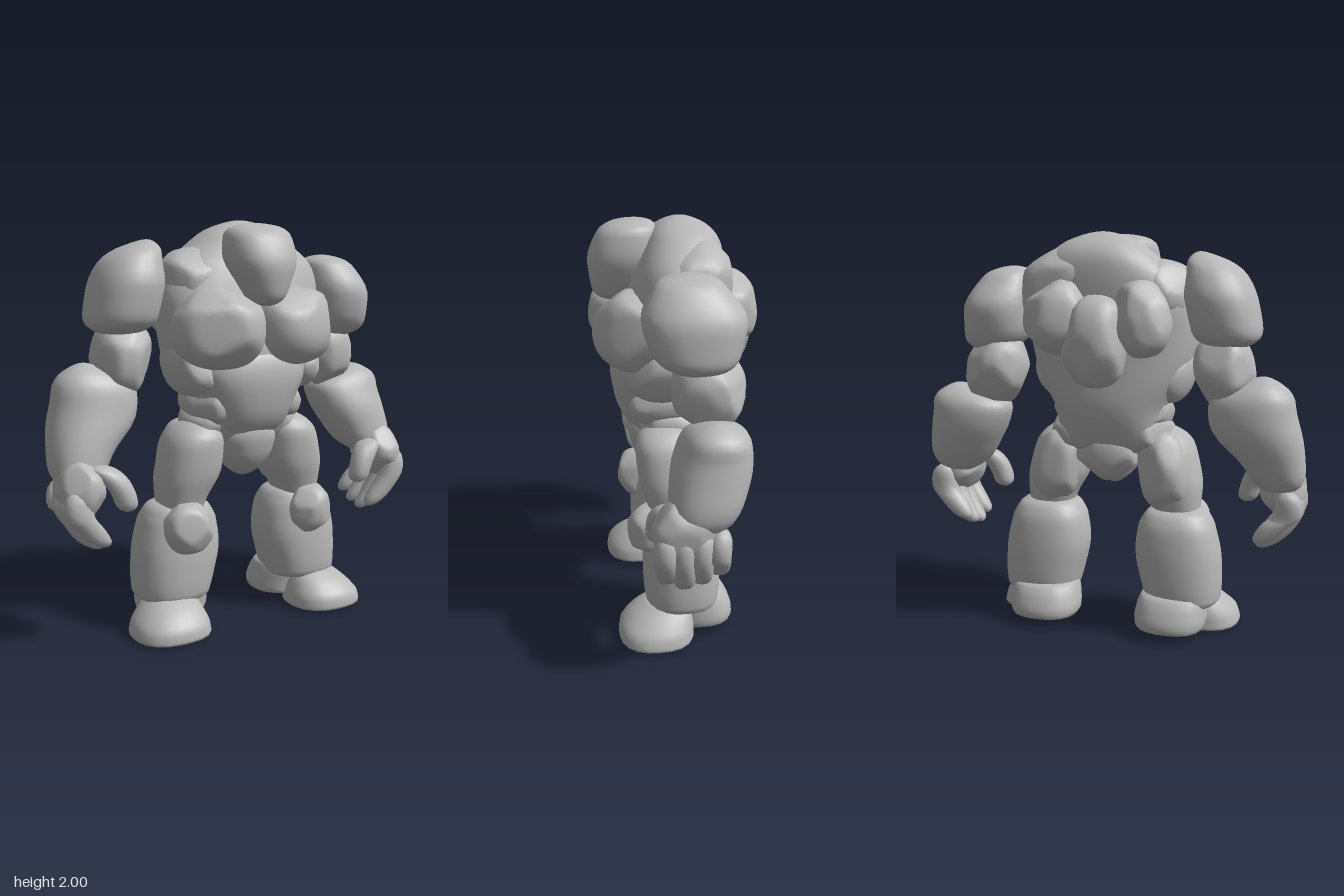
import * as THREE from 'three';
import { mergeVertices } from 'three/addons/utils/BufferGeometryUtils.js';

const stone = new THREE.MeshStandardMaterial({ color: 0xb8b8b8 });
stone.name = 'grey stone';

function seeded(seed) {
  let s = seed * 7919 + 17;
  return () => (s = (s * 16807) % 2147483647) / 2147483647;
}

// Boulder: a boxy ball with softly chiselled sides, fitted to exact half sizes.
let count = 1;
function rock(group, name, pos, size, rot = [0, 0, 0]) {
  const rnd = seeded(count++);
  let g = new THREE.IcosahedronGeometry(1, 7);
  g.deleteAttribute('normal');
  g.deleteAttribute('uv');
  g = mergeVertices(g, 1e-4);
  const cuts = [];
  for (let i = 0; i < 14; i++) {
    const n = new THREE.Vector3(rnd() * 2 - 1, rnd() * 2 - 1, rnd() * 2 - 1).normalize();
    cuts.push([n, 0.86 + rnd() * 0.12]);
  }
  const p = g.attributes.position, v = new THREE.Vector3();
  for (let i = 0; i < p.count; i++) {
    v.fromBufferAttribute(p, i);
    const e = 2.4;
    v.multiplyScalar(1 / Math.pow(Math.abs(v.x) ** e + Math.abs(v.y) ** e + Math.abs(v.z) ** e, 1 / e));
    for (const [n, h] of cuts) {
      const d = v.dot(n) - h;
      if (d > 0) v.addScaledVector(n, -d * 0.8);
    }
    p.setXYZ(i, v.x, v.y, v.z);
  }
  g.center();
  g.computeBoundingBox();
  const m = g.boundingBox.max;
  g.scale(size[0] / m.x, size[1] / m.y, size[2] / m.z);
  g.computeVertexNormals();
  const mesh = new THREE.Mesh(g, stone);
  mesh.name = name;
  mesh.position.set(...pos);
  mesh.rotation.set(...rot);
  group.add(mesh);
}

// Limb: level cross-sections [x, y, z, rx, rz] listed from the top down, with rounded ends.
function limb(group, name, sections, rings = 22, sides = 22, end = 0.16) {
  const mid = new THREE.CatmullRomCurve3(sections.map(s => new THREE.Vector3(s[0], s[1], s[2])));
  const rad = new THREE.CatmullRomCurve3(sections.map(s => new THREE.Vector3(s[3], s[4], 0)));
  const pos = [], idx = [];
  for (let i = 0; i <= rings; i++) {
    const t = (1 - Math.cos((Math.PI * i) / rings)) / 2;
    const c = mid.getPoint(t), r = rad.getPoint(t);
    const near = Math.min(t, 1 - t, end) / end;
    const k = Math.max(0.002, Math.sqrt(1 - (1 - near) ** 2));
    for (let j = 0; j < sides; j++) {
      const a = (j / sides) * Math.PI * 2, ca = Math.cos(a), sa = Math.sin(a);
      const f = k / Math.pow(Math.abs(ca) ** 2.5 + Math.abs(sa) ** 2.5, 1 / 2.5);
      pos.push(c.x + ca * r.x * f, c.y, c.z + sa * r.y * f);
      if (i < rings) {
        const A = i * sides + j, B = i * sides + ((j + 1) % sides);
        idx.push(A, B, A + sides, B, B + sides, A + sides);
      }
    }
  }
  const g = new THREE.BufferGeometry();
  g.setAttribute('position', new THREE.Float32BufferAttribute(pos, 3));
  g.setIndex(idx);
  g.computeVertexNormals();
  const mesh = new THREE.Mesh(g, stone);
  mesh.name = name;
  group.add(mesh);
}

function part(parent, name) {
  const g = new THREE.Group();
  g.name = name;
  parent.add(g);
  return g;
}

export function createModel() {
  count = 1;
  const model = new THREE.Group();
  model.name = 'stoneGiant';

  // Torso core, narrowing to the waist
  const torso = part(model, 'torso');
  limb(torso, 'trunk', [
    [0.04, 2.0, -0.04, 0.12, 0.09], [0.04, 1.9, -0.05, 0.25, 0.17], [0.03, 1.78, -0.03, 0.39, 0.21],
    [0.01, 1.65, -0.01, 0.43, 0.23], [0, 1.45, 0.01, 0.41, 0.25], [0, 1.3, 0.01, 0.37, 0.26],
    [0, 1.14, 0.0, 0.28, 0.25], [0, 1.0, 0.0, 0.26, 0.2], [0, 0.88, 0, 0.16, 0.14]], 32, 30, 0.08);
  rock(torso, 'leftTrapezius', [0.24, 1.76, -0.07], [0.23, 0.15, 0.18], [0, 0, -0.5]);
  rock(torso, 'rightTrapezius', [-0.25, 1.71, -0.02], [0.17, 0.16, 0.18], [0, 0, 0.2]);
  limb(torso, 'head', [[0, 1.985, 0.17, 0.1, 0.08], [-0.005, 1.93, 0.2, 0.155, 0.14],
    [-0.005, 1.82, 0.225, 0.165, 0.165], [0, 1.7, 0.25, 0.115, 0.135], [0, 1.6, 0.27, 0.06, 0.09]], 22, 22, 0.12);

  // Belly and pelvis
  limb(torso, 'belly', [[0, 1.45, 0.13, 0.24, 0.12], [0, 1.28, 0.15, 0.28, 0.145],
    [0, 1.15, 0.13, 0.235, 0.155], [0, 1.05, 0.11, 0.2, 0.145], [0, 0.93, 0.07, 0.15, 0.1]]);
  limb(torso, 'pelvis', [[0, 1.05, 0.1, 0.08, 0.11], [0, 0.95, 0.09, 0.145, 0.13],
    [0, 0.87, 0.07, 0.135, 0.13], [0, 0.74, 0.04, 0.05, 0.08]]);
  rock(torso, 'seat', [0, 0.92, -0.08], [0.16, 0.14, 0.12]);

  // Chest, ribs and back boulders
  for (const s of [1, -1]) {
    const side = s > 0 ? 'left' : 'right';
    rock(torso, side + 'Chest', [s * 0.205, 1.495, 0.18], [0.225, 0.195, 0.19], [-0.2, s * 0.4, s * 0.08]);
    rock(torso, side + 'Ribs', [s * 0.3, 1.31, 0.05], [0.1, 0.14, 0.19], [0, 0, -s * 0.25]);
    rock(torso, side + 'Flank', [s * 0.2, 1.12, 0.03], [0.1, 0.11, 0.19], [0, 0, -s * 0.3]);
    rock(torso, side + 'Hip', [s * 0.2, 1.02, 0.0], [0.11, 0.1, 0.17]);
  }
  rock(torso, 'leftShoulderBlade', [0.2, 1.6, -0.23], [0.17, 0.18, 0.14], [0.1, 0.3, 0.2]);
  rock(torso, 'rightShoulderBlade', [-0.21, 1.6, -0.23], [0.145, 0.18, 0.12], [0.1, -0.3, -0.2]);
  rock(torso, 'spineBoulder', [0.01, 1.49, -0.25], [0.16, 0.22, 0.15], [0.08, 0, 0]);

  // Legs, mirrored
  for (const s of [1, -1]) {
    const leg = part(model, s > 0 ? 'leftLeg' : 'rightLeg');
    limb(leg, 'thigh', [[s * 0.24, 1.06, 0.04, 0.08, 0.1], [s * 0.27, 0.95, 0.04, 0.14, 0.16],
      [s * 0.295, 0.8, 0.03, 0.155, 0.16], [s * 0.33, 0.66, 0.02, 0.12, 0.13], [s * 0.34, 0.55, 0.02, 0.1, 0.1]]);
    rock(leg, 'hamstring', [s * 0.28, 0.84, -0.06], [0.125, 0.2, 0.115], [0, 0, s * 0.15]);
    limb(leg, 'shin', [[s * 0.34, 0.66, 0.0, 0.13, 0.12], [s * 0.34, 0.56, -0.01, 0.19, 0.165],
      [s * 0.35, 0.4, -0.01, 0.215, 0.185], [s * 0.37, 0.25, -0.01, 0.2, 0.185],
      [s * 0.38, 0.14, -0.01, 0.18, 0.17]], 24, 24, 0.1);
    rock(leg, 'knee', [s * 0.355, 0.54, 0.135], [0.12, 0.125, 0.115], [0.1, 0, 0]);
    // Foot: sloping toe block turned outwards and a broad heel block
    limb(leg, 'toes', [[s * 0.41, 0.2, 0.05, 0.1, 0.1], [s * 0.43, 0.145, 0.09, 0.145, 0.15],
      [s * 0.445, 0.08, 0.12, 0.185, 0.18], [s * 0.45, 0.005, 0.125, 0.2, 0.185]], 18, 22, 0.08);
    limb(leg, 'heel', [[s * 0.35, 0.24, -0.06, 0.16, 0.13], [s * 0.34, 0.17, -0.08, 0.175, 0.16],
      [s * 0.335, 0.1, -0.1, 0.18, 0.165], [s * 0.335, 0.035, -0.1, 0.165, 0.16]], 18, 22, 0.14);
  }

  // Left arm
  const left = part(model, 'leftArm');
  limb(left, 'shoulder', [[0.52, 1.83, -0.02, 0.08, 0.1], [0.54, 1.77, -0.02, 0.13, 0.16],
    [0.575, 1.64, -0.035, 0.17, 0.23], [0.59, 1.5, -0.04, 0.165, 0.2], [0.63, 1.4, -0.06, 0.1, 0.12]]);
  rock(left, 'upperArm', [0.58, 1.32, -0.1], [0.155, 0.18, 0.165], [0, 0, 0.2]);
  limb(left, 'forearm', [[0.8, 1.24, -0.11, 0.08, 0.09], [0.725, 1.14, -0.11, 0.2, 0.155],
    [0.745, 1.03, -0.09, 0.195, 0.175], [0.795, 0.9, -0.06, 0.17, 0.165], [0.84, 0.75, -0.02, 0.11, 0.13]]);

  // Right arm, raised a little higher
  const right = part(model, 'rightArm');
  limb(right, 'shoulder', [[-0.45, 1.91, -0.07, 0.06, 0.08], [-0.525, 1.82, -0.08, 0.13, 0.17],
    [-0.555, 1.7, -0.085, 0.165, 0.215], [-0.585, 1.56, -0.085, 0.165, 0.2], [-0.6, 1.46, -0.09, 0.13, 0.14]]);
  rock(right, 'upperArm', [-0.585, 1.36, -0.1], [0.14, 0.18, 0.16], [0, 0, -0.2]);
  limb(right, 'forearm', [[-0.77, 1.34, -0.11, 0.08, 0.09], [-0.72, 1.22, -0.11, 0.2, 0.155],
    [-0.74, 1.08, -0.1, 0.21, 0.17], [-0.82, 0.92, -0.06, 0.15, 0.155], [-0.86, 0.76, -0.02, 0.11, 0.13]]);

  // Hands: palm, blunt thumb and a row of curled fingers
  for (const [arm, s] of [[left, 1], [right, -1]]) {
    const low = s > 0 ? 0.03 : 0;
    rock(arm, 'palm', [s * 0.86, 0.78, 0.03], [0.11, 0.14, 0.155], [0, 0, s * 0.1]);
    limb(arm, 'thumb', [[s * 0.79, 0.89 - low, 0.09, 0.06, 0.055], [s * 0.73, 0.83 - low, 0.12, 0.065, 0.06],
      [s * 0.685, 0.75 - low, 0.14, 0.055, 0.055], [s * 0.665, 0.665 - low, 0.14, 0.05, 0.05]], 14, 12);
    for (let i = 0; i < 4; i++) {
      const z = 0.12 - i * 0.078, drop = [0.03, 0, 0.02, 0.06][i] - low * 0.6;
      limb(arm, 'finger' + (i + 1), [[s * 0.9, 0.8, z, 0.06, 0.05], [s * 0.9, 0.67, z + 0.01, 0.068, 0.052],
        [s * 0.85, 0.57 + drop, z, 0.068, 0.05], [s * 0.77, 0.47 + drop, z - 0.01, 0.05, 0.042]], 14, 12);
    }
  }
  return model;
}
